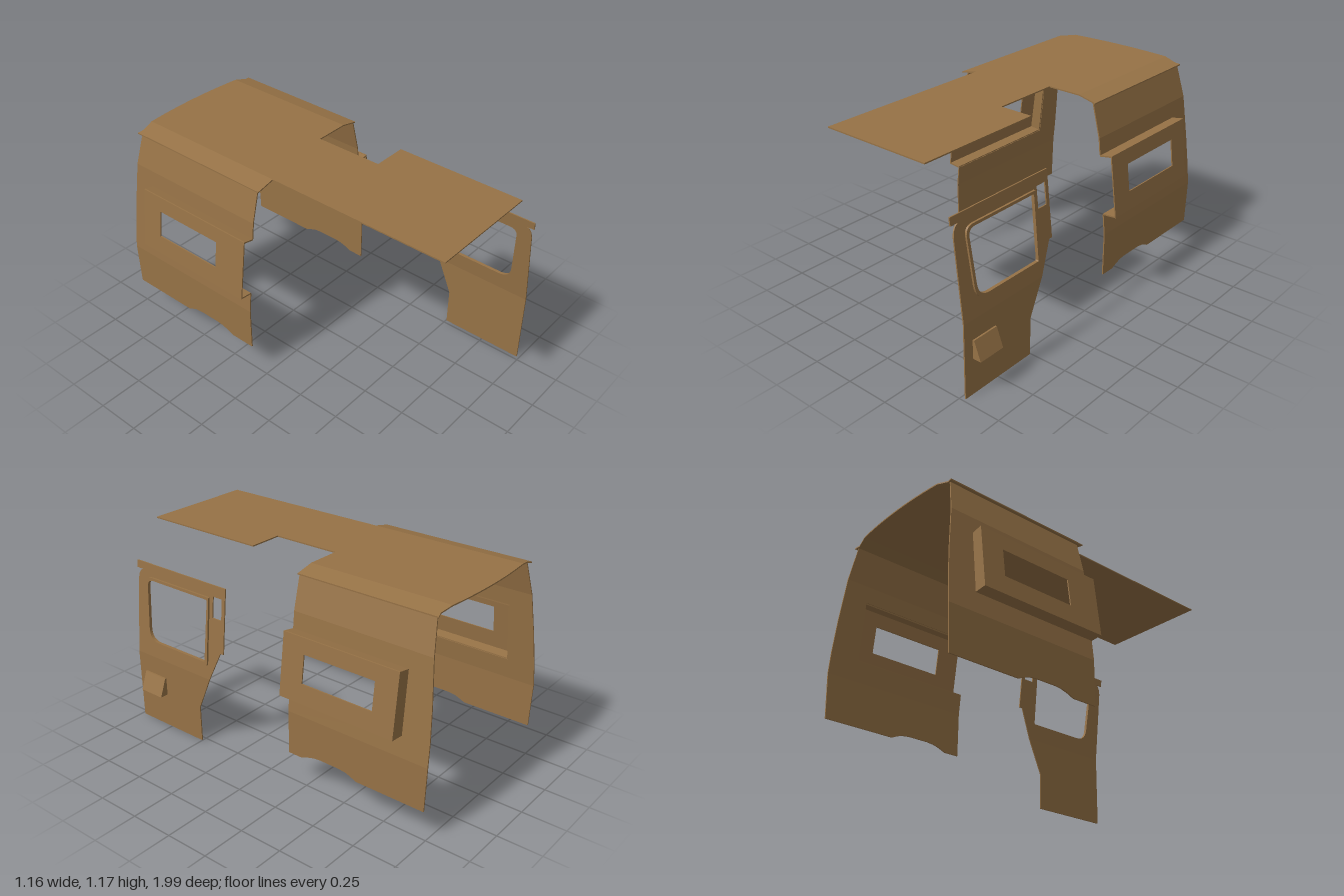
import * as THREE from 'three';

const T = 0.007; // board thickness
const wood = new THREE.MeshStandardMaterial({ color: 0x967246 });
wood.name = 'plywood brown';

// Traces an outline of [a, b, cornerRadius?] points
function trace(path, pts) {
  pts.forEach(([x, y, r = 0], i) => {
    const toward = ([a, b]) => {
      const d = Math.hypot(a - x, b - y);
      return [x + (a - x) / d * r, y + (b - y) / d * r];
    };
    const p = toward(pts[(i + pts.length - 1) % pts.length]);
    const q = toward(pts[(i + 1) % pts.length]);
    if (i === 0) path.moveTo(...p); else path.lineTo(...p);
    if (r) path.quadraticCurveTo(x, y, ...q);
  });
  path.closePath();
  return path;
}

// Flat board cut from an outline, then placed by a rule (u, v, w) -> [x, y, z]
function board(name, pts, holes, depth, place) {
  const shape = trace(new THREE.Shape(), pts);
  shape.holes = holes.map((h) => trace(new THREE.Path(), h));
  const geo = new THREE.ExtrudeGeometry(shape, { depth, bevelEnabled: false, curveSegments: 8 });
  const pos = geo.attributes.position;
  for (let i = 0; i < pos.count; i++) {
    pos.setXYZ(i, ...place(pos.getX(i), pos.getY(i), pos.getZ(i)));
  }
  geo.computeVertexNormals();
  const mesh = new THREE.Mesh(geo, wood);
  mesh.name = name;
  return mesh;
}

// Piecewise straight line through [input, output] pairs
function profile(pairs) {
  return (t) => {
    let i = 0;
    while (i < pairs.length - 2 && t > pairs[i + 1][0]) i++;
    const [[a, p], [b, q]] = [pairs[i], pairs[i + 1]];
    return p + (q - p) * (t - a) / (b - a);
  };
}

// Upright board drawn in (z, y), leaning along x by a profile of y
function upright(name, pts, holes, xOf, depth = T) {
  const flip = (list) => list.map(([z, y, r]) => [-z, y, r]);
  return board(name, flip(pts), holes.map(flip), depth, (u, v, w) => [xOf(v) + w - T / 2, v, -u]);
}

// Bar with a cross-section in (x, y), running from z0 to z1
function bar(name, pts, z0, z1) {
  return board(name, pts, [], z1 - z0, (u, v, w) => [u, v, z0 + w]);
}

// Side wall with wheel arch and a pop-out window box open to the inside
function sideWall(side, front) {
  const g = new THREE.Group();
  g.name = side > 0 ? 'leftWall' : 'rightWall';
  const wallX = profile([[0.17, 0.514], [0.42, 0.514], [0.965, 0.455], [1.148, 0.409]]);
  const xOf = (y) => side * wallX(y) - 0.005;
  const back = -0.84;
  g.add(upright('lowerWall', [
    [front, 0.17], [-0.23, 0.17], [-0.27, 0.187], [-0.31, 0.198], [-0.35, 0.202], [-0.47, 0.202],
    [-0.52, 0.196], [-0.56, 0.18], [-0.58, 0.17], [-0.988, 0.17], [-0.998, 0.42], [front, 0.42],
  ], [], xOf));
  g.add(upright('middleWall', [
    [front, 0.42], [-0.998, 0.42], [-0.996, 0.54], [-0.986, 0.72], [-0.965, 0.965], [front, 0.965],
    [front, 0.872], [back, 0.872], [back, 0.535], [front, 0.535],
  ], [], xOf));
  g.add(upright('upperWall', [
    [front, 0.965], [-0.965, 0.965], [-0.944, 1.148], [front, 1.148],
  ], [], xOf));

  // Pop-out window box
  const [topY, lowY, topX, lowX] = [0.885, 0.54, 0.531, 0.575];
  const outerX = profile([[lowY, lowX], [topY, topX]]);
  g.add(upright('windowPanel',
    [[front, lowY], [back, lowY], [back, topY], [front, topY]],
    [[[-0.28, 0.645], [-0.71, 0.645], [-0.71, 0.8], [-0.28, 0.8]]],
    (y) => side * outerX(y)));
  const [inTop, inLow] = [xOf(0.872), xOf(0.535)];
  const [outTop, outLow] = [side * topX, side * lowX];
  g.add(bar('boxTop', [[inTop, 0.872], [outTop, topY], [outTop, topY - 0.008], [inTop, 0.864]], back, front));
  g.add(bar('boxLedge', [[inLow, 0.533], [outLow, lowY], [outLow, lowY + 0.008], [inLow, 0.541]], back, front));
  g.add(bar('boxEnd', [[inTop, 0.872], [outTop, topY], [outLow, lowY], [inLow, 0.533]], back, back + T));
  return g;
}

// Ceiling: flat centre with a doorway cut-out and two sloping edges
function ceiling() {
  const g = new THREE.Group();
  g.name = 'ceiling';
  const [l, r] = [-0.333, 0.316];
  const yOf = profile([[-0.438, 1.145], [l, 1.168], [r, 1.168], [0.419, 1.145]]);
  const sheet = (name, pts) => g.add(board(name, pts.map(([x, z]) => [x, -z]), [], T,
    (u, v, w) => [u, yOf(u) + w, -v]));
  const backEdge = [];
  for (let i = 0; i <= 12; i++) {
    const x = l + (r - l) * i / 12;
    const s = i / 6 - 1;
    backEdge.push([x, -0.98 + 0.017 * s * s]);
  }
  sheet('ceilingCentre', [...backEdge,
    [r, -0.14], [0.123, -0.14], [0.123, 0.25], [r, 0.25], [r, 0.983], [l, 0.983]]);
  sheet('ceilingRightEdge', [[l, -0.963], [l, -0.06], [-0.438, -0.06], [-0.438, -0.957], [-0.405, -0.948]]);
  sheet('ceilingLeftEdge', [[r, -0.963], [0.388, -0.948], [0.419, -0.957], [0.419, -0.14], [r, -0.14]]);
  return g;
}

// Door panel with framed window, small quarter window and wedge pocket
function door() {
  const g = new THREE.Group();
  g.name = 'door';
  const xOf = profile([[0, 0.525], [0.42, 0.525], [0.962, 0.467]]);
  const glass = [[0.437, 0.875, 0.008], [0.9, 0.875, 0.045], [0.878, 0.52, 0.075], [0.443, 0.52, 0.008]];
  g.add(upright('doorLower',
    [[0.984, 0], [0.984, 0.42], [0.413, 0.42], [0.503, 0.215], [0.503, 0]], [], xOf));
  g.add(upright('doorUpper', [
    [0.984, 0.42], [0.984, 0.86], [0.978, 0.89], [0.966, 0.91], [0.95, 0.92], [0.996, 0.92],
    [0.996, 0.962], [0.315, 0.962], [0.315, 0.595], [0.337, 0.595], [0.413, 0.42],
  ], [glass, [[0.402, 0.78], [0.337, 0.78], [0.337, 0.9], [0.402, 0.9]]], xOf));
  g.add(upright('windowFrame',
    [[0.425, 0.89], [0.917, 0.89, 0.055], [0.894, 0.504, 0.085], [0.425, 0.504]],
    [glass], xOf, 0.018));
  g.add(bar('doorPocket', [[0.526, 0.205], [0.578, 0.205], [0.538, 0.31], [0.526, 0.31]], 0.768, 0.928));
  return g;
}

export function createModel() {
  const model = new THREE.Group();
  model.name = 'vanLiningPanels';
  model.add(sideWall(1, -0.143), sideWall(-1, -0.083), ceiling(), door());
  return model;
}
